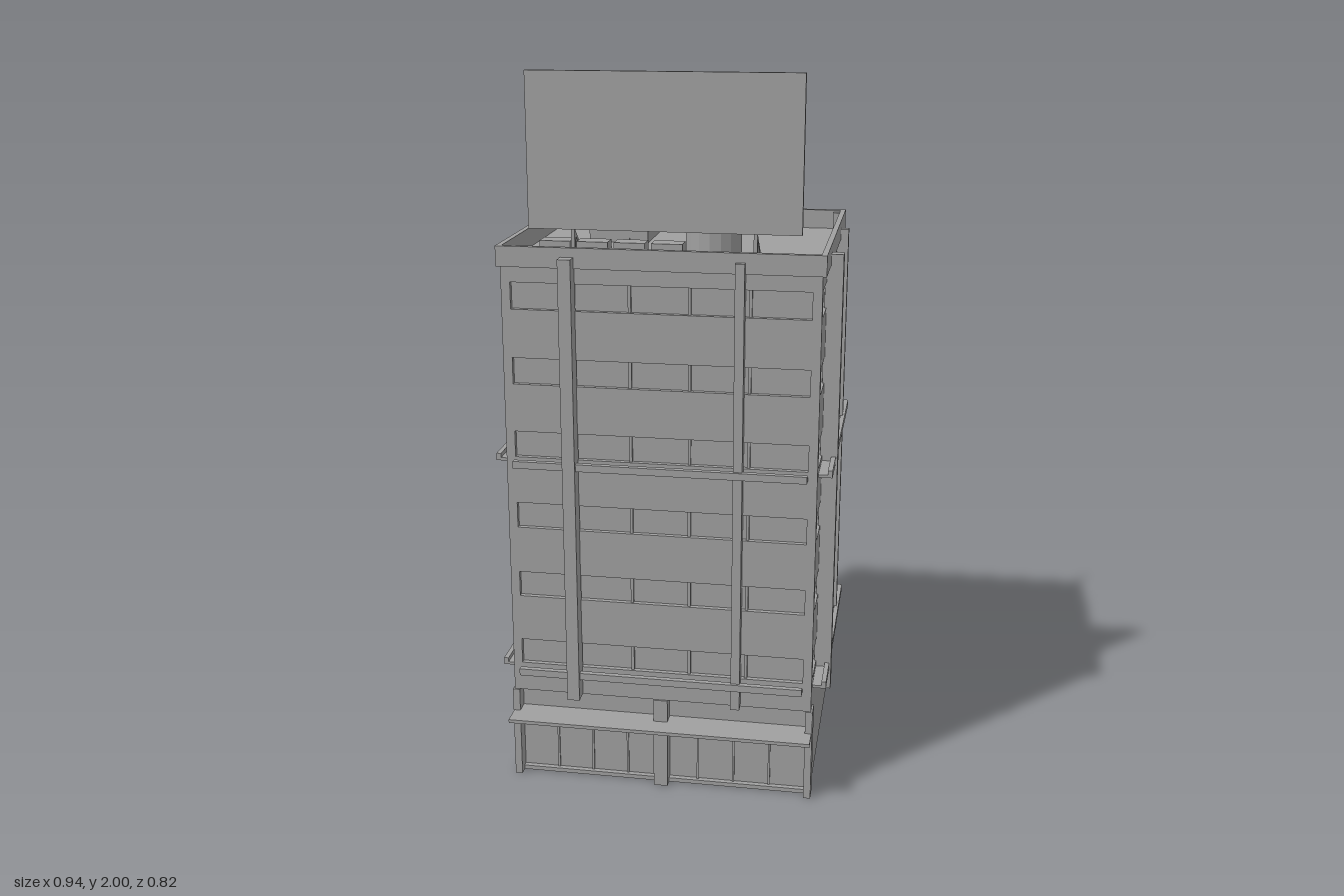
import * as THREE from 'three';

export function createModel() {
  const model = new THREE.Group();
  const concrete = new THREE.MeshStandardMaterial({ color: 0xa0a0a0 });

  // Box given by its lower and upper corners
  function box(name, x0, x1, y0, y1, z0, z1, parent = model) {
    const mesh = new THREE.Mesh(new THREE.BoxGeometry(x1 - x0, y1 - y0, z1 - z0), concrete);
    mesh.position.set((x0 + x1) / 2, (y0 + y1) / 2, (z0 + z1) / 2);
    mesh.name = name;
    parent.add(mesh);
    return mesh;
  }
  function cylinder(name, r, y0, y1, x, z, sides) {
    const mesh = new THREE.Mesh(new THREE.CylinderGeometry(r, r, y1 - y0, sides).toNonIndexed(), concrete);
    mesh.geometry.computeVertexNormals();
    mesh.position.set(x, (y0 + y1) / 2, z);
    mesh.name = name;
    model.add(mesh);
  }

  // Ground floor with recessed shop front
  box('groundFloor', -0.425, 0.425, 0, 0.27, -0.38, 0.31);
  for (const [x0, x1] of [[-0.43, -0.41], [-0.02, 0.02], [0.41, 0.43]])
    box('frontColumn', x0, x1, 0, 0.27, 0.3, 0.35);
  box('shopSill', -0.41, 0.41, 0, 0.012, 0.3, 0.325);
  for (let i = 1; i < 8; i++) {
    const x = -0.41 + i * 0.1025;
    if (i !== 4) box('shopMullion', x - 0.003, x + 0.003, 0.012, 0.195, 0.3, 0.315);
  }
  box('awning', -0.428, 0.428, 0.194, 0.204, 0.3, 0.41);

  // Tower: recessed core, with solid storeys and corner piers around the window bands
  const X = 0.425, Z0 = -0.402, Z1 = 0.345, depth = 0.014;
  const bandY = [0.355, 0.561, 0.767, 0.973, 1.179, 1.385], bandH = 0.073;
  box('towerCore', -X + depth, X - depth, 0.275, 1.5, Z0 + depth, Z1 - depth);
  let bottom = 0.27;
  for (const y of [...bandY, 1.5]) {
    box('storeyWall', -X, X, bottom, y, Z0, Z1);
    bottom = y + bandH;
  }
  for (const y of bandY) {
    for (const s of [-1, 1]) {
      const a = s < 0 ? -X : 0.4, b = s < 0 ? -0.4 : X;
      box('cornerPier', a, b, y, y + bandH, Z0, -0.375);
      box('cornerPier', a, b, y, y + bandH, 0.318, Z1);
    }
    // Five panes to each band
    for (let i = 1; i < 5; i++) {
      const x = -0.4 + i * 0.16, z = -0.375 + i * 0.1386;
      box('windowMullion', x - 0.004, x + 0.004, y, y + bandH, Z0 + 0.006, Z0 + 0.02);
      box('windowMullion', x - 0.004, x + 0.004, y, y + bandH, Z1 - 0.02, Z1 - 0.006);
      for (const s of [-1, 1]) {
        const c = s * (X - 0.012);
        box('windowMullion', c - 0.006, c + 0.006, y, y + bandH, z - 0.004, z + 0.004);
      }
    }
  }

  // Vertical shafts on the front and sides
  box('wideShaft', -0.26, -0.225, 0.27, 1.53, 0.34, 0.388);
  box('narrowShaft', 0.202, 0.227, 0.27, 1.53, 0.34, 0.37);
  box('wideShaft', -0.47, -0.42, 0.27, 1.53, -0.255, -0.222);
  box('narrowShaft', -0.457, -0.42, 0.27, 1.53, 0.145, 0.168);
  box('wideShaft', 0.42, 0.468, 0.27, 1.53, 0.16, 0.195);
  box('narrowShaft', 0.42, 0.457, 0.27, 1.53, -0.23, -0.206);

  // Horizontal ledges with an upturned lip
  for (const y of [0.33, 0.95]) {
    box('ledge', -0.4, 0.4, y, y + 0.008, 0.34, 0.378);
    box('ledgeLip', -0.4, 0.4, y + 0.008, y + 0.02, 0.362, 0.378);
    for (const s of [-1, 1]) {
      const span = (a, b) => s > 0 ? [a, b] : [-b, -a];
      box('ledge', ...span(0.42, 0.463), y, y + 0.008, -0.377, 0.316);
      box('ledgeLip', ...span(0.45, 0.463), y + 0.008, y + 0.02, -0.377, 0.316);
    }
  }

  // Parapet around the roof, with small corner posts
  box('parapetFront', -0.435, 0.435, 1.5, 1.555, 0.337, 0.353);
  box('parapetBack', -0.435, 0.435, 1.5, 1.555, -0.413, -0.397);
  for (const s of [-1, 1]) {
    box('parapetSide', s * 0.4275 - 0.0075, s * 0.4275 + 0.0075, 1.5, 1.555, -0.397, 0.337);
    for (const z of [-0.387, 0.327])
      box('cornerPost', s * 0.41 - 0.01, s * 0.41 + 0.01, 1.5, 1.55, z - 0.01, z + 0.01);
  }

  // Roof equipment
  box('stairHouse', -0.275, -0.105, 1.5, 1.67, -0.272, -0.058);
  box('stairDoor', -0.222, -0.158, 1.5, 1.62, -0.06, -0.055);
  cylinder('waterTank', 0.078, 1.5, 1.66, 0.102, 0.06, 16);
  cylinder('tankLid', 0.071, 1.66, 1.675, 0.102, 0.06, 16);
  for (const x of [-0.343, -0.241, -0.14, -0.039])
    box('airUnit', x, x + 0.084, 1.5, 1.553, 0.19, 0.244);
  box('roofDuct', -0.343, 0.255, 1.5, 1.525, -0.315, -0.286);

  // Antenna
  cylinder('antennaPole', 0.004, 1.5, 1.87, 0.272, -0.27, 8);
  box('antennaTip', 0.263, 0.281, 1.868, 1.886, -0.279, -0.261);

  // Billboard on two legs with rear braces
  box('billboard', -0.364, 0.364, 1.59, 2, 0.26, 0.275);
  for (const x of [-0.245, 0.242]) {
    box('billboardLeg', x - 0.005, x + 0.005, 1.5, 1.6, 0.255, 0.268);
    const brace = box('billboardBrace', x - 0.005, x + 0.005, 1.54, 1.55, 0.16, 0.275);
    brace.rotation.x = -0.7;
  }
  return model;
}
